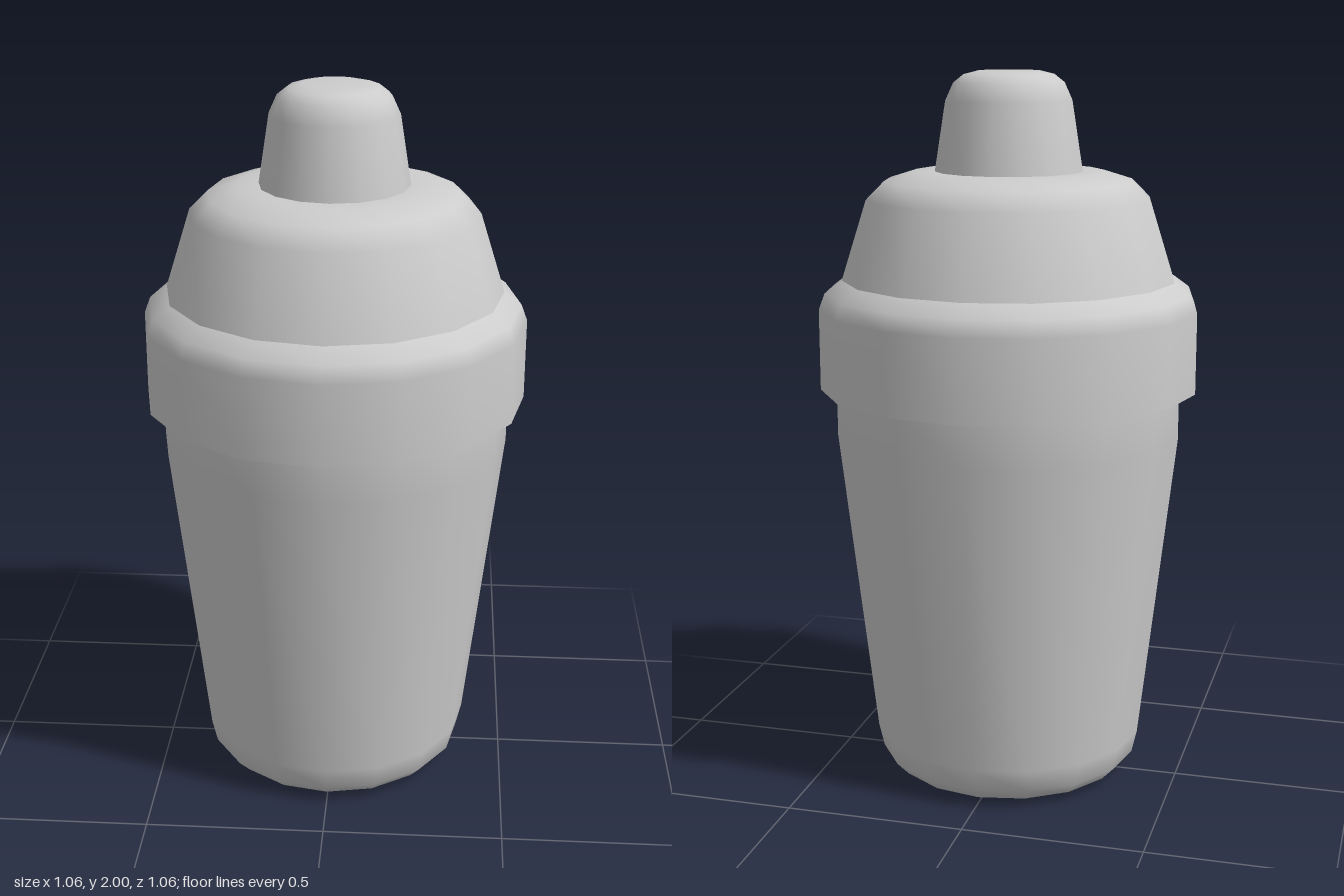
import * as THREE from 'three';

const SIDES = 16;

export function createModel() {
  const group = new THREE.Group();
  const metal = new THREE.MeshStandardMaterial({ color: 0xcccccc });
  metal.name = 'brushed steel';

  // Turns a [radius, height] profile, listed from bottom to top, around y
  function turned(name, profile) {
    const points = profile.map(([r, y]) => new THREE.Vector2(r, y));
    const mesh = new THREE.Mesh(new THREE.LatheGeometry(points, SIDES), metal);
    mesh.name = name;
    group.add(mesh);
  }

  // Tapered cup with a rounded foot
  turned('cup', [
    [0, 0], [0.28, 0], [0.335, 0.018], [0.37, 0.055], [0.385, 0.12],
    [0.485, 1.0], [0.485, 1.14],
  ]);

  // Wide collar of the lid, with a sharp lower edge
  turned('collarUnderside', [[0.47, 1.13], [0.53, 1.13]]);
  turned('collar', [[0.53, 1.13], [0.53, 1.355], [0.513, 1.4], [0.465, 1.435]]);

  // Sloping shoulder of the lid
  turned('shoulder', [
    [0.465, 1.435], [0.395, 1.655], [0.345, 1.705], [0.265, 1.73], [0.19, 1.73],
  ]);

  // Small rounded cap
  turned('cap', [
    [0.205, 1.73], [0.175, 1.92], [0.153, 1.968], [0.125, 1.99], [0.085, 2], [0, 2],
  ]);

  return group;
}
